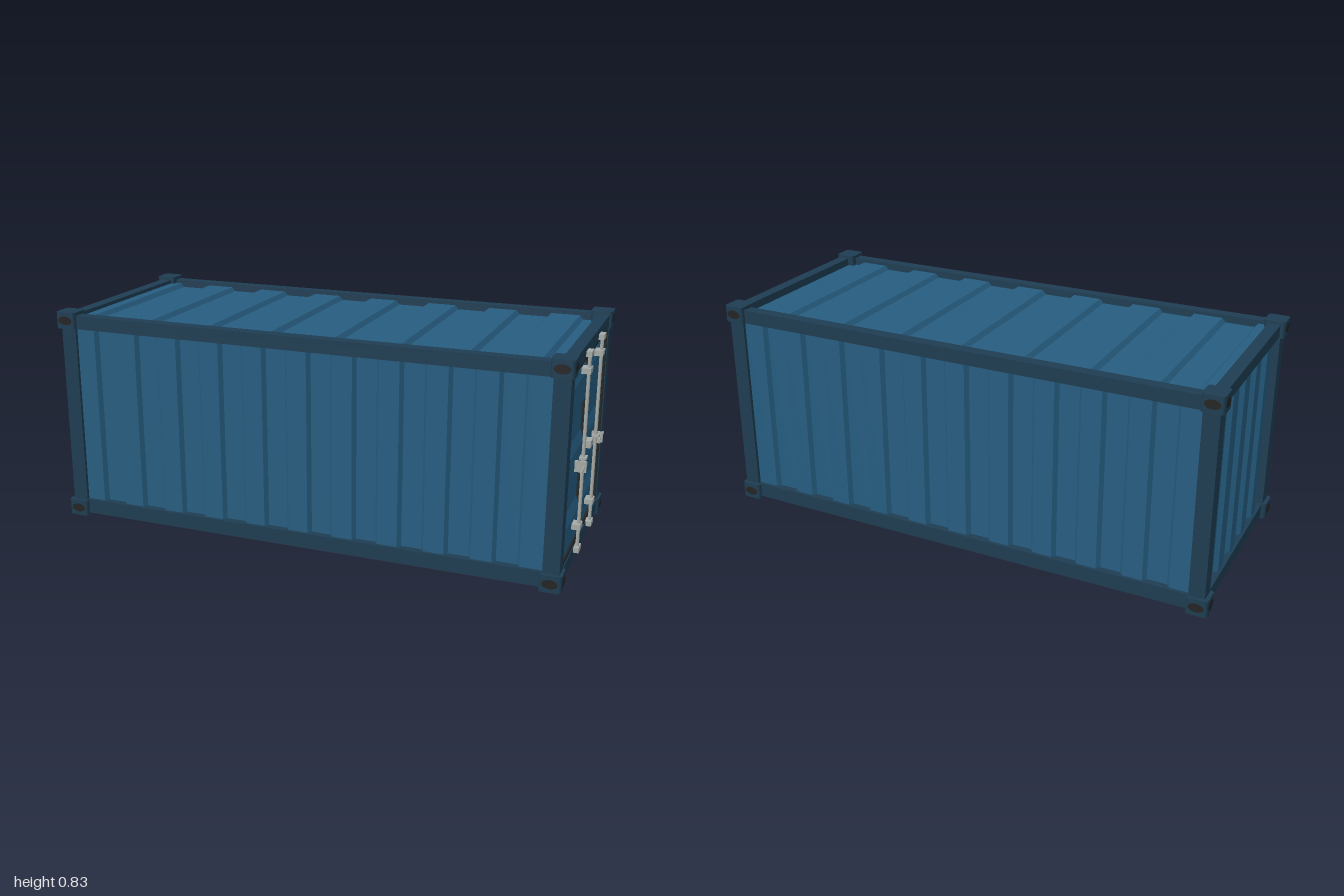
import * as THREE from 'three';

const mat = (color) => new THREE.MeshStandardMaterial({ color });
const V = (x, y, z) => new THREE.Vector3(x, y, z);

export function createModel() {
  const root = new THREE.Group();
  const frame = mat(0x1e3d52), panel = mat(0x265d80), rubber = mat(0x242424), steel = mat(0xa5aaa6);

  const add = (name, geo, material, parent = root) => {
    const m = new THREE.Mesh(geo, material);
    m.name = name;
    parent.add(m);
    return m;
  };
  // Box given by its min and max corners
  const box = (name, x0, x1, y0, y1, z0, z1, material, parent) => {
    const m = add(name, new THREE.BoxGeometry(x1 - x0, y1 - y0, z1 - z0), material, parent);
    m.position.set((x0 + x1) / 2, (y0 + y1) / 2, (z0 + z1) / 2);
    return m;
  };
  // Trapezoid-corrugated sheet: profile runs along u, rises along out, is swept over width
  const sheet = (name, { u0, u1, first, pitch, slope, depth, width, u, out, origin }) => {
    const s = new THREE.Shape();
    s.moveTo(u0, -depth - 0.012);
    s.lineTo(u1, -depth - 0.012);
    const top = [[u0, 0]];
    let level = 0;
    for (let c = first; c < u1 - slope / 2; c += pitch) {
      top.push([c - slope / 2, level]);
      level = level === 0 ? -depth : 0;
      top.push([c + slope / 2, level]);
    }
    top.push([u1, level]);
    top.reverse().forEach(([a, b]) => s.lineTo(a, b));
    const geo = new THREE.ExtrudeGeometry(s, { depth: width, bevelEnabled: false });
    geo.translate(0, 0, -width / 2);
    const basis = new THREE.Matrix4().makeBasis(u, out, u.clone().cross(out));
    geo.applyMatrix4(basis.setPosition(origin));
    return add(name, geo, panel);
  };

  // Corner posts and long rails
  for (const s of [1, -1]) {
    const side = s > 0 ? 'left' : 'right';
    const z = s > 0 ? [0.35, 0.41] : [-0.41, -0.35];
    const zr = s > 0 ? [0.365, 0.41] : [-0.41, -0.365];
    box(side + 'RearPost', -0.985, -0.925, 0.03, 0.8, ...z, frame);
    box(side + 'DoorPost', 0.91, 0.97, 0.03, 0.8, ...z, frame);
    box(side + 'TopRail', -0.95, 0.94, 0.765, 0.817, ...zr, frame);
    box(side + 'BottomRail', -0.95, 0.94, 0.01, 0.068, ...zr, frame);
  }
  // Cross rails at both ends
  for (const [name, x0, x1] of [['rear', -0.982, -0.935], ['door', 0.925, 0.97]]) {
    box(name + 'Header', x0, x1, 0.77, 0.818, -0.37, 0.37, frame);
    box(name + 'Sill', x0, x1, 0.01, 0.062, -0.37, 0.37, frame);
  }
  box('floor', -0.94, 0.93, 0.03, 0.05, -0.37, 0.37, panel);

  // Corner castings with rounded upright edges and dark oval sockets
  const h = 0.0405, r = 0.012;
  const plan = new THREE.Shape();
  plan.moveTo(-h + r, -h);
  plan.absarc(h - r, -h + r, r, -Math.PI / 2, 0);
  plan.absarc(h - r, h - r, r, 0, Math.PI / 2);
  plan.absarc(-h + r, h - r, r, Math.PI / 2, Math.PI);
  plan.absarc(-h + r, -h + r, r, Math.PI, Math.PI * 1.5);
  const castingGeo = new THREE.ExtrudeGeometry(plan, { depth: 0.064, bevelEnabled: false, curveSegments: 4 });
  castingGeo.translate(0, 0, -0.032).rotateX(-Math.PI / 2);
  const socketGeo = new THREE.CircleGeometry(1, 24).scale(0.029, 0.017, 1);
  for (const x of [-0.9595, 0.94]) for (const y of [0.032, 0.798]) for (const z of [-0.384, 0.384]) {
    const corner = new THREE.Group();
    corner.name = 'cornerCasting';
    corner.position.set(x, y, z);
    add('castingBlock', castingGeo, frame, corner);
    const end = add('endSocket', socketGeo, rubber, corner);
    end.position.x = Math.sign(x) * (h + 0.001);
    end.rotation.y = Math.sign(x) * Math.PI / 2;
    const flank = add('sideSocket', socketGeo, rubber, corner);
    flank.position.z = Math.sign(z) * (h + 0.001);
    flank.rotation.y = z > 0 ? 0 : Math.PI;
    root.add(corner);
  }

  // Corrugated walls and roof
  const wall = { u0: -0.933, u1: 0.915, first: -0.845, pitch: 0.0877, slope: 0.012, depth: 0.016, width: 0.71, u: V(1, 0, 0) };
  sheet('leftWall', { ...wall, out: V(0, 0, 1), origin: V(0, 0.415, 0.398) });
  sheet('rightWall', { ...wall, out: V(0, 0, -1), origin: V(0, 0.415, -0.398) });
  sheet('rearWall', { u0: -0.36, u1: 0.36, first: -0.29, pitch: 0.0725, slope: 0.012, depth: 0.016, width: 0.72,
    u: V(0, 0, 1), out: V(-1, 0, 0), origin: V(-0.972, 0.415, 0) });
  sheet('roof', { u0: -0.95, u1: 0.94, first: -0.888, pitch: 0.125, slope: 0.014, depth: 0.016, width: 0.74,
    u: V(1, 0, 0), out: V(0, 1, 0), origin: V(0, 0.804, 0) });

  // Doors with shallow horizontal corrugation
  for (const s of [1, -1]) {
    sheet(s > 0 ? 'leftDoor' : 'rightDoor', { u0: 0.073, u1: 0.757, first: 0.19, pitch: 0.13, slope: 0.035, depth: 0.014,
      width: 0.336, u: V(0, 1, 0), out: V(1, 0, 0), origin: V(0.958, 0, s * 0.173) });
    box('sideSeal', 0.925, 0.966, 0.062, 0.77, s * 0.345 - 0.006, s * 0.345 + 0.006, rubber);
  }
  box('centreSeal', 0.925, 0.966, 0.062, 0.77, -0.006, 0.006, rubber);
  box('topSeal', 0.925, 0.966, 0.757, 0.771, -0.35, 0.35, rubber);
  box('bottomSeal', 0.925, 0.966, 0.061, 0.074, -0.35, 0.35, rubber);

  // Locking bars, brackets and handles
  for (const s of [1, -1]) {
    const lock = new THREE.Group();
    lock.name = s > 0 ? 'leftLockingBar' : 'rightLockingBar';
    const z = s * 0.131;
    add('bar', new THREE.CylinderGeometry(0.0065, 0.0065, 0.735, 12), steel, lock).position.set(0.98, 0.418, z);
    for (const y of [0.052, 0.141, 0.725, 0.786])
      box('bracket', 0.957, 0.99, y - 0.01, y + 0.01, z - 0.024, z + 0.024, steel, lock);
    box('handleHub', 0.968, 0.994, 0.398, 0.407, z - 0.018, z + 0.018, steel, lock);
    const [a, b, c] = s > 0 ? [0.128, 0.229, 0.169] : [-0.25, -0.122, -0.184];
    const handle = add('handle', new THREE.CylinderGeometry(0.0045, 0.0045, b - a, 10), steel, lock);
    handle.rotation.x = Math.PI / 2;
    handle.position.set(0.991, 0.38, (a + b) / 2);
    box('handleCatch', 0.957, 1, 0.36, 0.402, c - 0.004, c + 0.004, steel, lock);
    box('handlePivot', 0.975, 0.997, 0.371, 0.389, s * 0.14 - 0.004, s * 0.14 + 0.004, steel, lock);
    root.add(lock);
  }
  box('centreLock', 0.957, 0.988, 0.402, 0.429, -0.025, 0.025, steel);
  return root;
}
